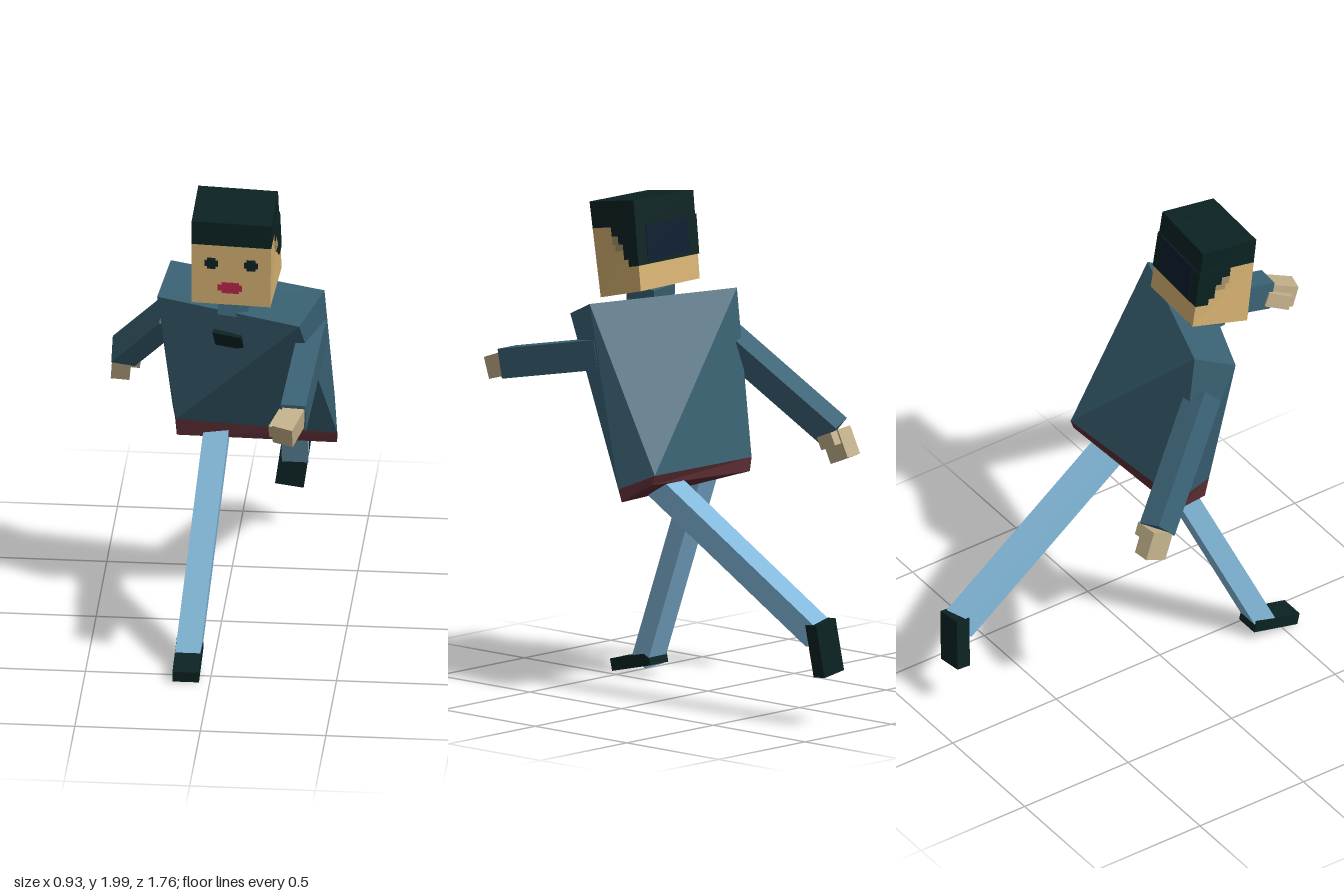
import * as THREE from 'three';

const V = (p) => new THREE.Vector3(...p);
const mat = (name, color) => {
  const m = new THREE.MeshStandardMaterial({ color });
  m.name = name;
  return m;
};

// Body frames: bottom then top corners, each back-right, back-left, front-right, front-left
const TORSO = [
  [-0.2, 0.93, -0.05], [0.44, 0.955, -0.125], [-0.17, 0.95, 0.12], [0.465, 0.88, 0.05],
  [-0.2, 1.605, 0.03], [0.43, 1.6, 0.24], [-0.24, 1.525, 0.2], [0.345, 1.525, 0.425],
];
const HEM = [
  [-0.19, 0.875, -0.05], [0.44, 0.915, -0.11], [-0.17, 0.87, 0.1], [0.463, 0.83, 0.033],
  ...TORSO.slice(0, 4),
];
const HEAD = [
  [-0.07, 1.65, 0.11], [0.25, 1.64, 0.13], [-0.09, 1.585, 0.36], [0.225, 1.58, 0.372],
  [-0.08, 2.0, 0.155], [0.24, 2.0, 0.18], [-0.085, 1.965, 0.408], [0.235, 1.962, 0.424],
];

// Box whose u, v, w ranges (right to left, bottom to top, back to front) are warped into a frame
function cell(frame, [u0, u1], [v0, v1], [w0, w1]) {
  const c = frame.map(V);
  const g = new THREE.BoxGeometry(1, 1, 1);
  const pos = g.attributes.position;
  for (let i = 0; i < pos.count; i++) {
    const u = pos.getX(i) > 0 ? u1 : u0;
    const v = pos.getY(i) > 0 ? v1 : v0;
    const w = pos.getZ(i) > 0 ? w1 : w0;
    const p = new THREE.Vector3();
    c.forEach((q, k) => {
      p.addScaledVector(q, (k & 1 ? u : 1 - u) * (k & 4 ? v : 1 - v) * (k & 2 ? w : 1 - w));
    });
    pos.setXYZ(i, p.x, p.y, p.z);
  }
  const flat = g.toNonIndexed();
  flat.computeVertexNormals();
  return flat;
}

// Box running from a to b, its width turned towards the side direction
function bar(a, b, width, depth, side = [1, 0, 0]) {
  const A = V(a), B = V(b);
  const dir = B.clone().sub(A);
  const length = dir.length();
  dir.normalize();
  const x = V(side).addScaledVector(dir, -V(side).dot(dir)).normalize();
  const z = new THREE.Vector3().crossVectors(x, dir);
  const m = new THREE.Matrix4().makeBasis(x, dir, z).setPosition(A.add(B).multiplyScalar(0.5));
  return new THREE.BoxGeometry(width, length, depth).applyMatrix4(m);
}

export function createModel() {
  const model = new THREE.Group();
  model.name = 'figure';
  const teal = mat('teal coat', 0x3a6274);
  const maroon = mat('maroon hem', 0x5a2c32);
  const skin = mat('face skin', 0xd6b272);
  const hand = mat('hand skin', 0xc2b08a);
  const hair = mat('dark hair and shoes', 0x0b2222);
  const navy = mat('navy patch', 0x0b1c30);
  const blue = mat('blue trousers', 0x82b8da);
  const red = mat('red lips', 0xb8264c);
  const earTone = mat('ear shade', 0xa89468);

  const add = (name, geometry, material) => {
    const mesh = new THREE.Mesh(geometry, material);
    mesh.name = name;
    model.add(mesh);
  };
  const full = [0, 1];

  // Coat
  add('torso', cell(TORSO, full, full, full), teal);
  add('hem', cell(HEM, full, full, full), maroon);
  add('neck', bar([0.07, 1.5, 0.25], [0.085, 1.64, 0.23], 0.12, 0.15), teal);
  for (const [u, v] of [[0.48, 0.795], [0.47, 0.474]]) {
    add('button', cell(TORSO, [u - 0.1, u + 0.1], [v - 0.053, v + 0.053], [0.98, 1.2]), hair);
  }
  add('lowerPatch', cell(TORSO, [0.43, 0.575], [0.16, 0.215], [0.99, 1.04]), navy);

  // Head: face below, hair above
  add('face', cell(HEAD, full, [0, 0.72], full), skin);
  add('hairTop', cell(HEAD, full, [0.72, 1], full), hair);
  add('hairBack', cell(HEAD, full, [0.28, 0.73], [-0.015, 0.01]), hair);
  add('hairBackPatch', cell(HEAD, [0.15, 0.85], [0.32, 0.72], [-0.025, 0]), navy);
  for (const u of [[-0.012, 0.01], [0.99, 1.012]]) {
    for (const [w0, w1, v] of [[-0.015, 0.22, 0.28], [0.22, 0.32, 0.36], [0.32, 0.42, 0.53], [0.42, 0.56, 0.62]]) {
      add('hairSide', cell(HEAD, u, [v, 0.73], [w0, w1]), hair);
    }
    add('ear', cell(HEAD, u, [0.46, 0.53], [0.32, 0.5]), earTone);
    add('earTop', cell(HEAD, u, [0.53, 0.62], [0.42, 0.56]), earTone);
  }

  // Stepped eyes and mouth on the face
  const front = [0.99, 1.015];
  for (const u of [0.25, 0.75]) {
    add('eye', cell(HEAD, [u - 0.085, u + 0.085], [0.465, 0.535], front), hair);
    add('eyeCentre', cell(HEAD, [u - 0.055, u + 0.055], [0.435, 0.565], front), hair);
  }
  add('mouth', cell(HEAD, [0.33, 0.64], [0.175, 0.245], front), red);
  add('upperLip', cell(HEAD, [0.38, 0.6], [0.245, 0.275], front), red);
  add('lowerLip', cell(HEAD, [0.38, 0.6], [0.145, 0.175], front), red);

  // Left arm swings forward
  add('leftArm', bar([0.385, 1.4, 0.2], [0.35, 1.285, 0.755], 0.1, 0.12), teal);
  add('leftHand', bar([0.355, 1.29, 0.74], [0.315, 1.25, 0.86], 0.085, 0.09), hand);
  add('leftThumb', bar([0.315, 1.28, 0.73], [0.28, 1.245, 0.82], 0.05, 0.06), hand);

  // Right arm swings back
  add('rightArm', bar([-0.19, 1.4, 0.08], [-0.415, 1.035, -0.3], 0.1, 0.11), teal);
  add('rightHand', bar([-0.42, 1.04, -0.3], [-0.43, 0.93, -0.345], 0.075, 0.1), hand);
  add('rightThumb', bar([-0.37, 1.035, -0.305], [-0.375, 0.985, -0.325], 0.05, 0.08), hand);

  // Right leg steps forward
  add('rightLeg', bar([-0.01, 0.92, 0.03], [-0.097, 0.06, 0.42], 0.1, 0.085), blue);
  add('rightShoe', bar([-0.095, 0.08, 0.36], [-0.095, 0.03, 0.568], 0.105, 0.05), hair);

  // Left leg kicks out behind
  add('leftLeg', bar([0.29, 0.89, -0.02], [0.225, 0.375, -0.82], 0.105, 0.1), blue);
  add('leftShoe', bar([0.23, 0.43, -0.83], [0.2, 0.218, -0.848], 0.115, 0.06), hair);

  return model;
}
